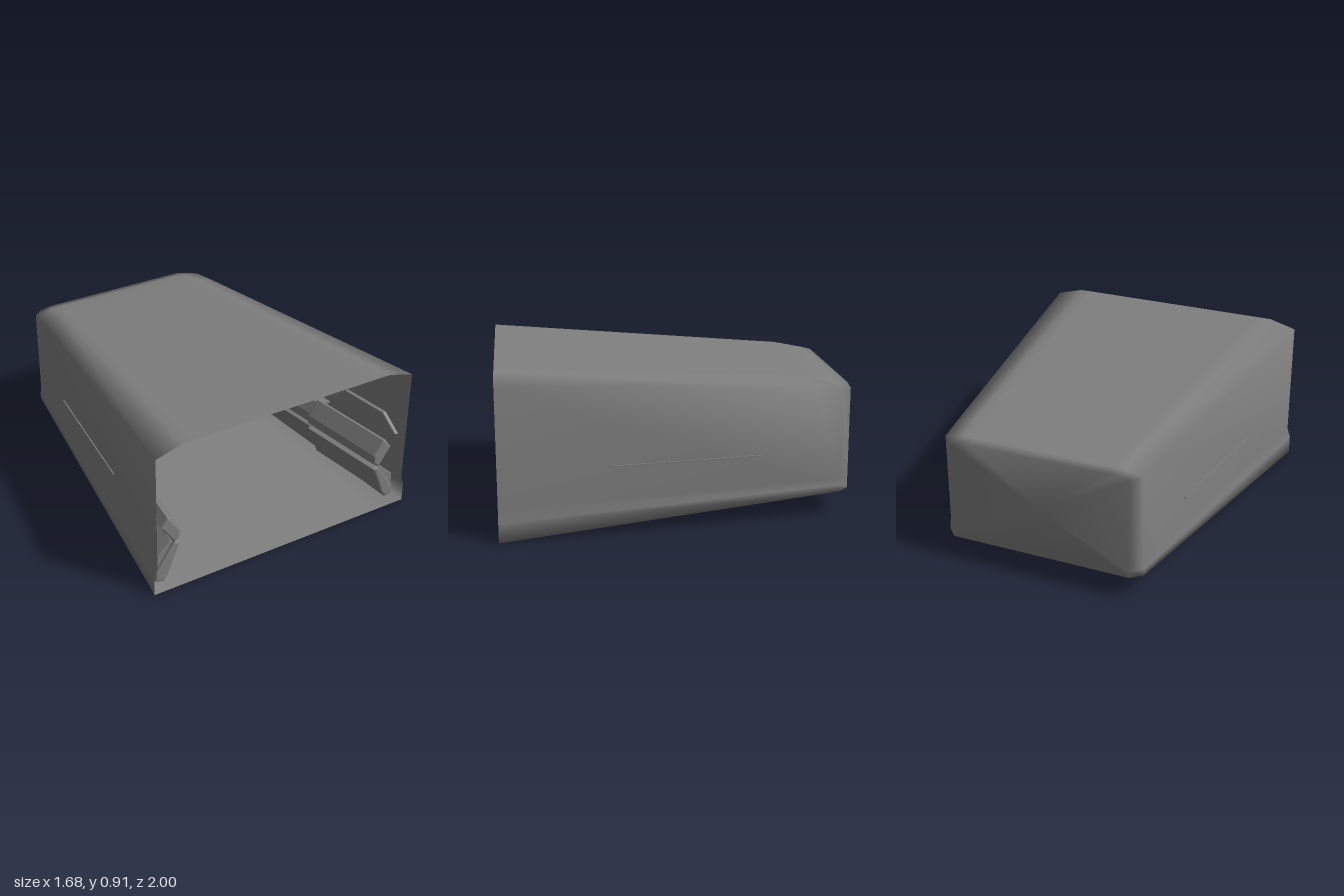
import * as THREE from 'three';

const material = new THREE.MeshStandardMaterial({ color: 0x7f7f7f, side: THREE.DoubleSide });
const WALL_SLOPE = 0.121; // how far the side walls close in per unit of depth
const FLOOR_SLOPE = 0.0706; // how far the floor rises per unit of depth
const SEAT_FRONT = 0.95;

// Tapered cabin shell, open at the front and closed at the back
function createShell() {
  // z, half widths (bottom, side, roof), heights (floor, flare, flare top, shoulder, roof)
  const sections = [
    [1, 0.84, 0.82, 0.66, 0, 0.11, 0.17, 0.868, 0.912],
    [-0.77, 0.617, 0.605, 0.49, 0.124, 0.17, 0.21, 0.755, 0.79],
    [-0.94, 0.595, 0.588, 0.48, 0.136, 0.175, 0.21, 0.737, 0.757],
    [-1, 0.535, 0.533, 0.46, 0.14, 0.18, 0.21, 0.73, 0.745],
  ];
  const loops = sections.map(([z, wb, ws, wr, y0, y1, y2, y3, y4]) => {
    const half = [[wb * 0.75, y0], [wb, y0], [wb, y1], [ws, y2], [ws, y3], [wr, y4], [wr * 0.88, y4]];
    const left = half.map(([x, y]) => [-x, y]).reverse();
    return [...half, ...left].map(([x, y]) => [x, y, z]);
  });
  const n = loops[0].length;
  const positions = loops.flat(2);
  positions.push(0, 0.44, -1); // centre of the back wall
  const centre = loops.length * n;
  const index = [];
  for (let j = 0; j < n; j++) {
    const k = (j + 1) % n;
    for (let i = 0; i < loops.length - 1; i++) {
      const a = i * n + j, b = i * n + k, c = a + n, d = b + n;
      index.push(a, c, b, b, c, d);
    }
    index.push(centre - n + j, centre, centre - n + k);
  }
  const geometry = new THREE.BufferGeometry();
  geometry.setAttribute('position', new THREE.Float32BufferAttribute(positions, 3));
  geometry.setIndex(index);
  geometry.computeVertexNormals();
  const mesh = new THREE.Mesh(geometry, material);
  mesh.name = 'cabinShell';
  return mesh;
}

const shapeOf = (points) => new THREE.Shape(points.map(([x, y]) => new THREE.Vector2(x, y)));

// Slides every vertex along the tapered wall and keeps it above the rising floor
function fitToCabin(geometry) {
  const p = geometry.attributes.position;
  for (let i = 0; i < p.count; i++) {
    const z = p.getZ(i);
    p.setX(i, p.getX(i) - WALL_SLOPE * (SEAT_FRONT - z));
    p.setY(i, Math.max(p.getY(i), FLOOR_SLOPE * (1 - z) + 0.01));
  }
  geometry.computeVertexNormals();
  return geometry;
}

// Padded bar with a cross-section in x and y, from zBack to zFront
function paddedBar(name, profile, zBack, zFront, bevel = 0.012) {
  const geometry = new THREE.ExtrudeGeometry(shapeOf(profile), {
    depth: zFront - zBack - 2 * bevel, bevelEnabled: bevel > 0, bevelThickness: bevel,
    bevelSize: bevel, bevelOffset: -bevel, bevelSegments: 2,
  });
  geometry.translate(0, 0, zBack + bevel);
  const mesh = new THREE.Mesh(fitToCabin(geometry), material);
  mesh.name = name;
  return mesh;
}

// Backrest: thin six-sided pad lying against the wall
function createBackrest(zBack, zFront) {
  const l = zFront - zBack;
  const outline = [[0.05, 0.38], [l - 0.05, 0.38], [l, 0.45], [l - 0.11, 0.545], [0.11, 0.545], [0, 0.45]];
  const geometry = new THREE.ExtrudeGeometry(shapeOf(outline), {
    depth: 0.01, bevelEnabled: true, bevelThickness: 0.008, bevelSize: 0.008,
    bevelOffset: -0.008, bevelSegments: 2,
  });
  geometry.rotateY(-Math.PI / 2); // outline now runs along z
  geometry.translate(0.803, 0, zBack);
  const mesh = new THREE.Mesh(fitToCabin(geometry), material);
  mesh.name = 'backrest';
  return mesh;
}

function createSeat(name, zBack, zFront) {
  const seat = new THREE.Group();
  seat.name = name;
  seat.add(
    paddedBar('upperCushion', [[0.65, 0.285], [0.685, 0.258], [0.765, 0.375], [0.725, 0.43], [0.71, 0.43], [0.65, 0.34]], zBack, zFront),
    paddedBar('lowerCushion', [[0.65, 0.25], [0.685, 0.262], [0.8, 0.09], [0.805, 0.035], [0.755, 0.02], [0.725, 0.06]], zBack, zFront),
    paddedBar('lowerBacking', [[0.685, 0.25], [0.7, 0.262], [0.808, 0.16], [0.808, 0.06], [0.79, 0.06]], zBack + 0.02, zFront - 0.02, 0.005),
  );
  return seat;
}

// Two seats joined by a narrower middle bench
function createSeatRow(name, side) {
  const row = new THREE.Group();
  row.name = name;
  row.add(
    createSeat('frontSeat', 0.38, 0.95),
    createSeat('rearSeat', -0.62, -0.15),
    createBackrest(0.42, 0.95),
    createBackrest(-0.7, -0.19),
    paddedBar('middleUpperCushion', [[0.675, 0.29], [0.695, 0.268], [0.77, 0.37], [0.73, 0.41], [0.715, 0.41], [0.672, 0.34]], -0.17, 0.4),
    paddedBar('middleLowerCushion', [[0.68, 0.245], [0.7, 0.255], [0.8, 0.12], [0.8, 0.06], [0.75, 0.06]], -0.17, 0.4),
    paddedBar('benchRail', [[0.76, 0.375], [0.82, 0.375], [0.82, 0.385], [0.76, 0.385]], -0.47, 0.38, 0),
  );
  row.scale.x = side;
  return row;
}

// Overhead box with a shallow notch in its underside
function createOverheadBox() {
  const outline = [[-0.17, 0.71], [-0.163, 0.69], [-0.14, 0.68], [-0.075, 0.68], [-0.07, 0.698], [0.07, 0.698],
    [0.075, 0.68], [0.14, 0.68], [0.163, 0.69], [0.17, 0.71], [0.17, 0.875], [-0.17, 0.875]];
  const geometry = new THREE.ExtrudeGeometry(shapeOf(outline), {
    depth: 0.25, bevelEnabled: true, bevelThickness: 0.015, bevelSize: 0.008, bevelOffset: -0.008, bevelSegments: 3,
  });
  geometry.translate(0, 0, 0.09);
  // keep the top just under the sloping roof
  const p = geometry.attributes.position;
  for (let i = 0; i < p.count; i++) {
    p.setY(i, Math.min(p.getY(i), 0.908 - 0.069 * (1 - p.getZ(i))));
  }
  geometry.computeVertexNormals();
  const mesh = new THREE.Mesh(geometry, material);
  mesh.name = 'overheadBox';
  return mesh;
}

export function createModel() {
  const model = new THREE.Group();
  model.name = 'passengerCabin';
  model.add(createShell(), createSeatRow('leftSeatRow', 1), createSeatRow('rightSeatRow', -1), createOverheadBox());
  return model;
}
